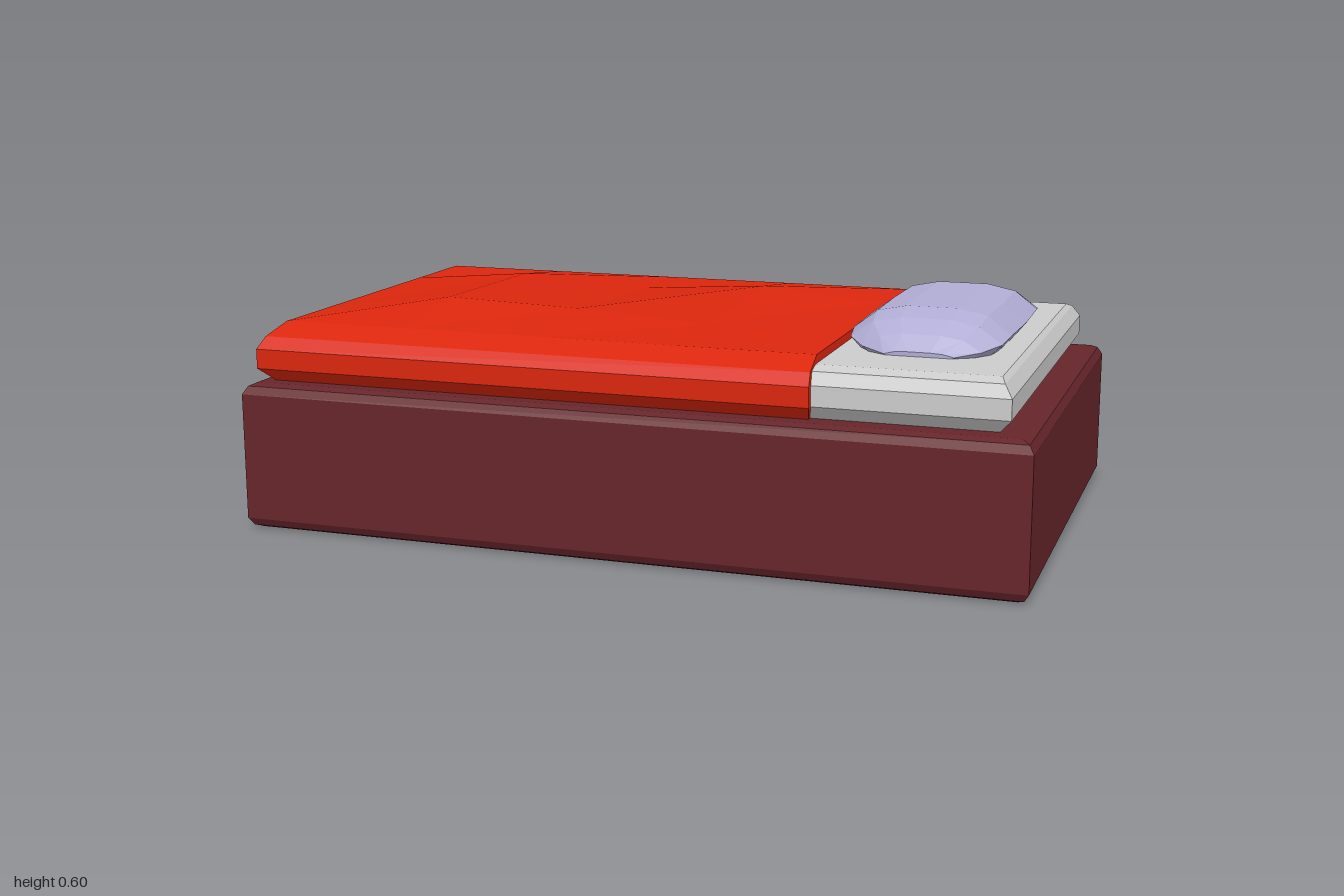
import * as THREE from 'three';

const material = (color, side = THREE.FrontSide) =>
  new THREE.MeshStandardMaterial({ color, flatShading: true, side });

function part(name, geometry, mat) {
  const mesh = new THREE.Mesh(geometry, mat);
  mesh.name = name;
  return mesh;
}

// Skin a row of closed rings (clockwise seen from the far end) and cap both ends.
function loft(rings, capEnd = true) {
  const n = rings[0].length, last = rings.length - 1;
  const index = [];
  for (let i = 0; i < last; i++) {
    for (let j = 0; j < n; j++) {
      const a = i * n + j, b = i * n + (j + 1) % n;
      index.push(a, a + n, b, b, a + n, b + n);
    }
  }
  for (let j = 1; j < n - 1; j++) {
    index.push(0, j, j + 1);
    if (capEnd) index.push(last * n, last * n + j + 1, last * n + j);
  }
  return surface(rings.flat(2), index);
}

function surface(points, index) {
  const g = new THREE.BufferGeometry();
  g.setAttribute('position', new THREE.Float32BufferAttribute(points, 3));
  g.setIndex(index);
  const flat = g.toNonIndexed();
  flat.computeVertexNormals();
  return flat;
}

// Stack of rectangles: [y, xMin, xMax, zHalf]
const slab = (layers, capTop = true) => loft(layers.map(([y, x0, x1, z]) =>
  [[x0, y, -z], [x1, y, -z], [x1, y, z], [x0, y, z]]), capTop);

// Gently rumpled top of the blanket: one height row per z line
function blanketTop() {
  const xs = [-0.93, -0.59, -0.23, 0.12, 0.47];
  const rows = [
    [-0.5, 0.525, 0.525, 0.525, 0.525, 0.525],
    [-0.25, 0.525, 0.555, 0.532, 0.555, 0.525],
    [0.25, 0.525, 0.566, 0.555, 0.535, 0.525],
    [0.5, 0.525, 0.525, 0.525, 0.525, 0.525],
  ];
  const points = [], index = [], n = xs.length;
  rows.forEach(([z, ...ys]) => xs.forEach((x, i) => points.push(x, ys[i], z)));
  for (let r = 0; r < rows.length - 1; r++) {
    for (let i = 0; i < n - 1; i++) {
      const a = r * n + i;
      index.push(a, a + n, a + 1, a + 1, a + n, a + n + 1);
    }
  }
  return surface(points, index);
}

// Plump pillow: sections along z as [z, halfWidth, seamY, topY]
function pillowGeometry() {
  const half = [
    [0.2, 0.195, 0.54, 0.6],
    [0.275, 0.185, 0.53, 0.584],
    [0.325, 0.145, 0.518, 0.553],
    [0.355, 0.085, 0.508, 0.516],
  ];
  const sections = [
    ...half.map(([z, ...s]) => [-z, ...s]).reverse(),
    [0, 0.2, 0.54, 0.6],
    ...half,
  ];
  const cx = 0.68, bottom = 0.5;
  return loft(sections.map(([z, w, seam, top]) => {
    const shoulder = seam + (top - seam) * 0.75;
    const left = [[-0.84 * w, bottom], [-w, seam], [-0.7 * w, shoulder], [-0.33 * w, top]];
    const right = left.map(([x, y]) => [-x, y]).reverse();
    return [...left, ...right].map(([x, y]) => [cx + x, y, z]);
  }));
}

export function createModel() {
  const bed = new THREE.Group();
  bed.name = 'bed';

  // Solid base with softened top and bottom edges
  const edge = [[0, 0.03], [0.008, 0.012], [0.028, 0]];
  const baseLayers = [...edge, ...edge.map(([y, d]) => [0.38 - y, d]).reverse()];
  bed.add(part('base',
    slab(baseLayers.map(([y, d]) => [y, -1 + d, 1 - d, 0.617 - d])), material(0x66252a)));

  // Mattress
  bed.add(part('mattress', slab([
    [0.38, -0.91, 0.91, 0.535],
    [0.415, -0.94, 0.94, 0.57],
    [0.465, -0.94, 0.94, 0.57],
    [0.495, -0.925, 0.92, 0.55],
    [0.505, -0.91, 0.908, 0.515],
  ]), material(0xcccccc)));

  // Blanket: folded sides plus rumpled top
  const red = material(0xdb260d, THREE.DoubleSide);
  const blanket = new THREE.Group();
  blanket.name = 'blanket';
  blanket.add(part('blanketSides', slab([
    [0.38, -0.94, 0.465, 0.55],
    [0.415, -0.97, 0.475, 0.588],
    [0.465, -0.97, 0.475, 0.588],
    [0.495, -0.955, 0.472, 0.565],
    [0.525, -0.93, 0.47, 0.5],
  ], false), red));
  blanket.add(part('blanketTop', blanketTop(), red));
  bed.add(blanket);

  // Pillow
  bed.add(part('pillow', pillowGeometry(), material(0xb0acd4)));

  return bed;
}
